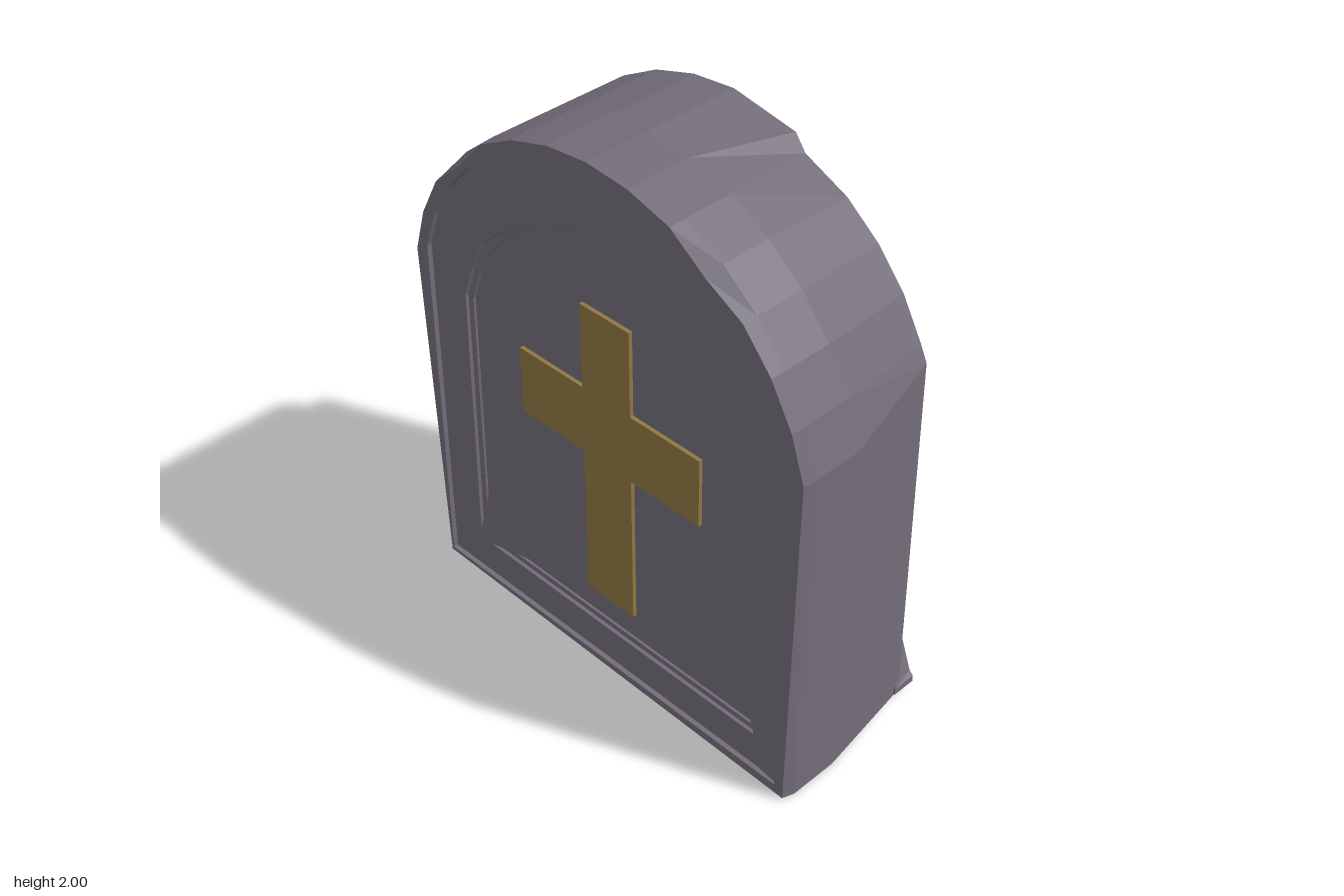
import * as THREE from 'three';

const stone = new THREE.MeshStandardMaterial({ color: 0x736d7a, flatShading: true });
const gold = new THREE.MeshStandardMaterial({ color: 0x8f7843, flatShading: true });
const SEGS = 14;

// Arched outline, counter-clockwise: two bottom corners, then the arc from right to left.
function arch(bottomHalf, bottomY, centreY, radius, startDeg) {
  const pts = [[-bottomHalf, bottomY], [bottomHalf, bottomY]];
  for (let i = 0; i <= SEGS; i++) {
    const a = THREE.MathUtils.degToRad(startDeg + (180 - 2 * startDeg) * i / SEGS);
    pts.push([radius * Math.cos(a), centreY + radius * Math.sin(a)]);
  }
  return pts;
}

// Skin rings of equal length, running from back to front, and cap both ends.
function loft(rings) {
  const n = rings[0].length, pos = rings.flat(2), idx = [];
  for (let k = 0; k < rings.length - 1; k++) {
    for (let i = 0; i < n; i++) {
      const a = k * n + i, b = k * n + (i + 1) % n;
      idx.push(a, b, b + n, a, b + n, a + n);
    }
  }
  const last = (rings.length - 1) * n;
  for (let i = 1; i < n - 1; i++) {
    idx.push(0, i + 1, i, last, last + i, last + i + 1);
  }
  const g = new THREE.BufferGeometry();
  g.setAttribute('position', new THREE.Float32BufferAttribute(pos, 3));
  g.setIndex(idx);
  g.computeVertexNormals();
  return g;
}

// Slab of split stone on the back: outer face shrunk by taper for a bevelled edge.
function slab(points, taper) {
  const mean = k => points.reduce((sum, p) => sum + p[k], 0) / points.length;
  const cx = mean(0), cy = mean(1);
  return loft([
    points.map(([x, y, z]) => [cx + (x - cx) * taper, cy + (y - cy) * taper, z]),
    points.map(([x, y]) => [x, y, -0.25]),
  ]);
}

// Single sloping facet of broken stone.
function facet(a, b, c) {
  const g = new THREE.BufferGeometry();
  g.setAttribute('position', new THREE.Float32BufferAttribute([...a, ...b, ...c], 3));
  g.computeVertexNormals();
  return g;
}

export function createModel() {
  const group = new THREE.Group();
  const add = (name, geometry, material = stone) => {
    const mesh = new THREE.Mesh(geometry, material);
    mesh.name = name;
    group.add(mesh);
  };
  const frontZ = x => 0.338 - 0.015 * x * x;
  const shrink = ([x, y], s) => [x * s, 1.13 + (y - 1.13) * s];

  // Back ring with a broken shoulder, then the full outline
  const outer = arch(0.835, 0, 1.13, 0.87, 12);
  const broken = { 1: [0.79, 0.03], 2: [0.79, 1.4], 7: [0.29, 1.9], 8: [0.25, 1.955] };
  const back = outer.map((p, i) => {
    const [x, y] = broken[i] || shrink(p, i > 2 && i < 7 ? 0.955 : 1);
    return [x, y, -0.278 + 0.011 * y];
  });
  const middle = outer.map(([x, y]) => [x, y, 0.1]);
  const shoulder = outer.map(([x, y]) => [x, y, 0.28]);

  // Front edge, worn at the lower corners and on both shoulders
  const worn = { 0: [-0.8, 0.03], 1: [0.825, 0.008] };
  const front = outer.map((p, i) => {
    const [x, y] = worn[i] || shrink(p, i === 6 || i === 13 ? 0.965 : 0.995);
    return [x, y, frontZ(x)];
  });

  // Flat rim, step down to the panel, then a stepped recess set slightly off centre
  const rim = arch(0.79, 0.045, 1.13, 0.82, 15.5);
  const rimTop = rim.map(([x, y]) => [x, y, frontZ(x)]);
  const rimFoot = rim.map(([x, y]) => [x * 0.998, y + 0.001, 0.312]);
  const chips = { 3: 0.02, 6: 0.01, 8: 0.012, 10: 0.012, 14: 0.015 };
  const recess = (half, bottom, radius, z, chipScale) =>
    arch(half, bottom, 1.06, radius, 14).map(([x, y], i) => {
      const s = 1 + (chips[i] || 0) * chipScale;
      return [0.018 + x * s, 1.06 + (y - 1.06) * s, z];
    });
  add('stoneBody', loft([
    back, middle, shoulder, front, rimTop, rimFoot,
    recess(0.66, 0.178, 0.67, 0.312, 1), recess(0.658, 0.18, 0.668, 0.3, 1),
    recess(0.635, 0.2, 0.645, 0.299, 0), recess(0.633, 0.202, 0.643, 0.291, 0),
  ]));

  // Broken corners on the front
  add('recessCornerChip', facet([-0.64, 0.178, 0.325], [-0.42, 0.203, 0.292], [-0.61, 0.39, 0.292]));
  add('rightRimChip', facet([0.825, 0.008, 0.33], [0.795, 0.13, 0.313], [0.71, 0.045, 0.313]));

  // Raised cross
  const crossShape = new THREE.Shape([
    [-0.09, 0.305], [0.125, 0.305], [0.125, 0.885], [0.42, 0.885], [0.42, 1.14], [0.125, 1.14],
    [0.125, 1.455], [-0.09, 1.455], [-0.09, 1.14], [-0.38, 1.14], [-0.38, 0.885], [-0.09, 0.885],
  ].map(p => new THREE.Vector2(...p)));
  const cross = new THREE.ExtrudeGeometry(crossShape, { depth: 0.022, bevelEnabled: false });
  add('cross', cross.translate(0, 0, 0.283), gold);

  // Layers of split stone on the back
  add('lowerBackSlab', slab([
    [-0.835, 0.005, -0.34], [0, 0.015, -0.34], [0.8, 0.035, -0.34], [0.8, 0.06, -0.34],
    [0.22, 0.7, -0.338], [0, 0.87, -0.337], [-0.2, 0.83, -0.337], [-0.84, 0.73, -0.338],
  ], 1));
  add('triangularBackSlab', slab([
    [0.8, 0.06, -0.336], [0.455, 1.035, -0.334], [0.18, 0.68, -0.335],
  ], 0.96));
  add('upperBackSlab', slab([
    [-0.2, 0.8, -0.334], [-0.36, 1.685, -0.325], [-0.65, 1.605, -0.325],
    [-0.8, 1.4, -0.328], [-0.845, 1.29, -0.33], [-0.84, 0.7, -0.335],
  ], 0.99));

  return group;
}
